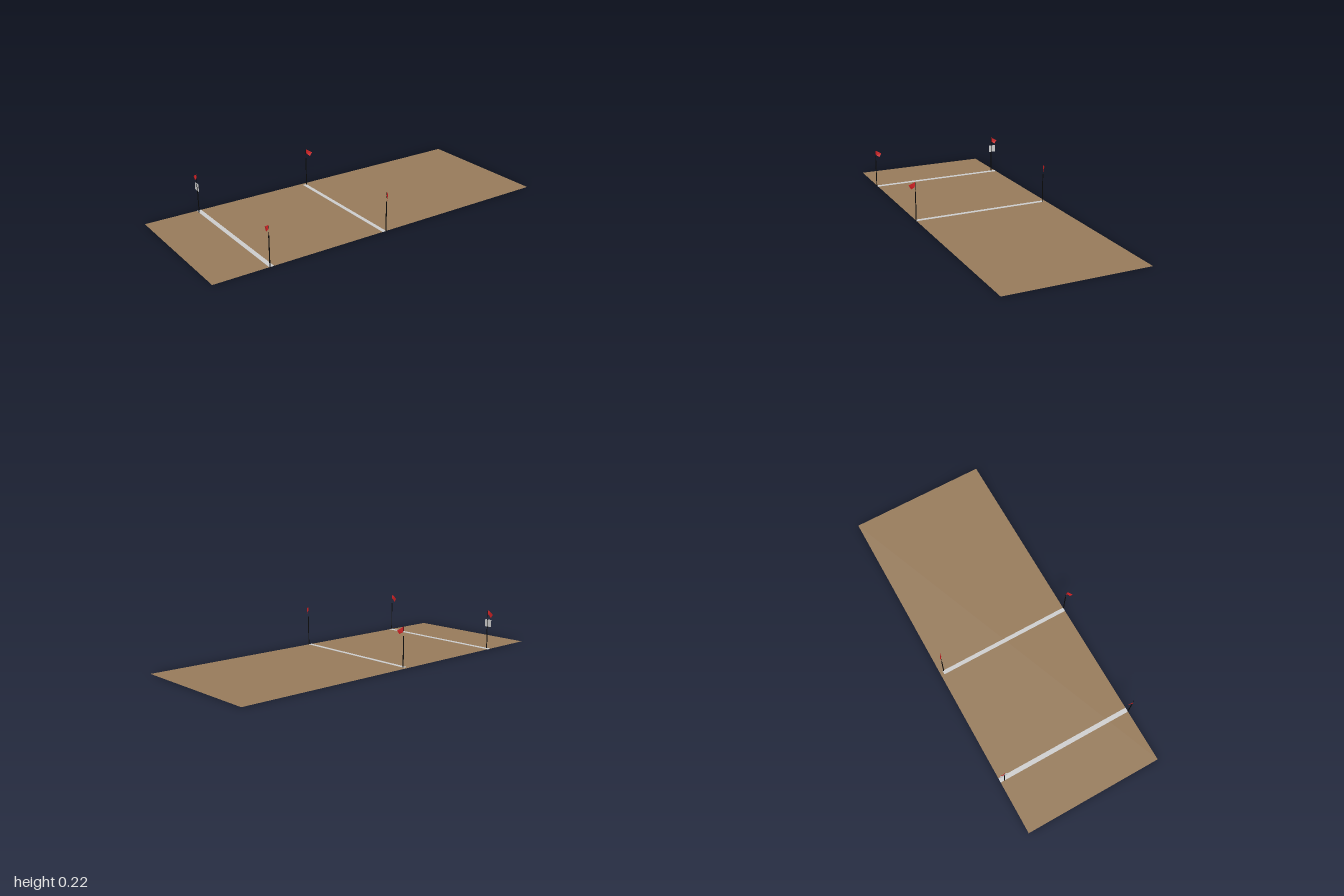
import * as THREE from 'three';

const mat = (name, color, side = THREE.FrontSide) => {
  const m = new THREE.MeshStandardMaterial({ color, side });
  m.name = name;
  return m;
};

// Folded cloth hanging from the pole top; runs along local +x
function flagGeometry() {
  const columns = [ // along, fold offset, top, bottom
    [0, 0, 0.219, 0.198],
    [0.011, 0.006, 0.212, 0.187],
    [0.036, 0, 0.197, 0.177],
  ];
  const pos = [];
  for (const [x, z, top, bottom] of columns) {
    // The lower edge swings back toward the pole
    pos.push(x, top, z, x * 0.63, bottom, z);
  }
  const index = [];
  for (let i = 0; i < columns.length - 1; i++) {
    const a = i * 2;
    index.push(a, a + 1, a + 2, a + 1, a + 3, a + 2);
  }
  const g = new THREE.BufferGeometry();
  g.setAttribute('position', new THREE.Float32BufferAttribute(pos, 3));
  g.setIndex(index);
  const flat = g.toNonIndexed();
  flat.computeVertexNormals();
  return flat;
}

export function createModel() {
  const group = new THREE.Group();
  const brown = mat('earth brown', 0x967a5a, THREE.DoubleSide);
  const grey = mat('light grey', 0xcccccc);
  const black = mat('black', 0x080808);
  const red = mat('flag red', 0xd02023, THREE.DoubleSide);

  const add = (parent, name, geometry, material, x = 0, y = 0, z = 0) => {
    const mesh = new THREE.Mesh(geometry, material);
    mesh.name = name;
    mesh.position.set(x, y, z);
    parent.add(mesh);
    return mesh;
  };

  // Flat ground
  const ground = new THREE.PlaneGeometry(2, 0.78).rotateX(-Math.PI / 2);
  add(group, 'ground', ground, brown, 0, 0.001, -0.01);

  // Lines across the ground, showing on both faces
  add(group, 'outerLine', new THREE.BoxGeometry(0.025, 0.002, 0.78), grey, -0.693, 0.001, -0.01);
  add(group, 'middleLine', new THREE.BoxGeometry(0.022, 0.002, 0.762), grey, -0.032, 0.001, -0.001);

  // Flag poles: x, z, and the direction the flag flies in
  const pole = new THREE.CylinderGeometry(0.0027, 0.0027, 0.165, 8);
  const tip = new THREE.CylinderGeometry(0.0008, 0.0008, 0.05, 6);
  const flag = flagGeometry();
  const posts = [
    [-0.023, 0.382, -0.5, 0.86],
    [-0.023, -0.376, 0.91, 0.41],
    [-0.703, 0.382, 0, -1],
    [-0.703, -0.376, 0, -1],
  ];
  for (const [x, z, dx, dz] of posts) {
    const post = new THREE.Group();
    post.name = 'flagPost';
    post.position.set(x, 0, z);
    add(post, 'pole', pole, black, 0, 0.0825, 0);
    add(post, 'poleTip', tip, black, 0, 0.19, 0);
    const cloth = add(post, 'flag', flag, red);
    cloth.rotation.y = Math.atan2(-dz, dx);
    // Bulge sideways, to the left of the flying direction
    cloth.scale.z = -1;
    group.add(post);
  }

  // Small sign on the far outer pole
  add(group, 'signPlate', new THREE.BoxGeometry(0.002, 0.041, 0.041), grey, -0.703, 0.146, -0.381);

  return group;
}
